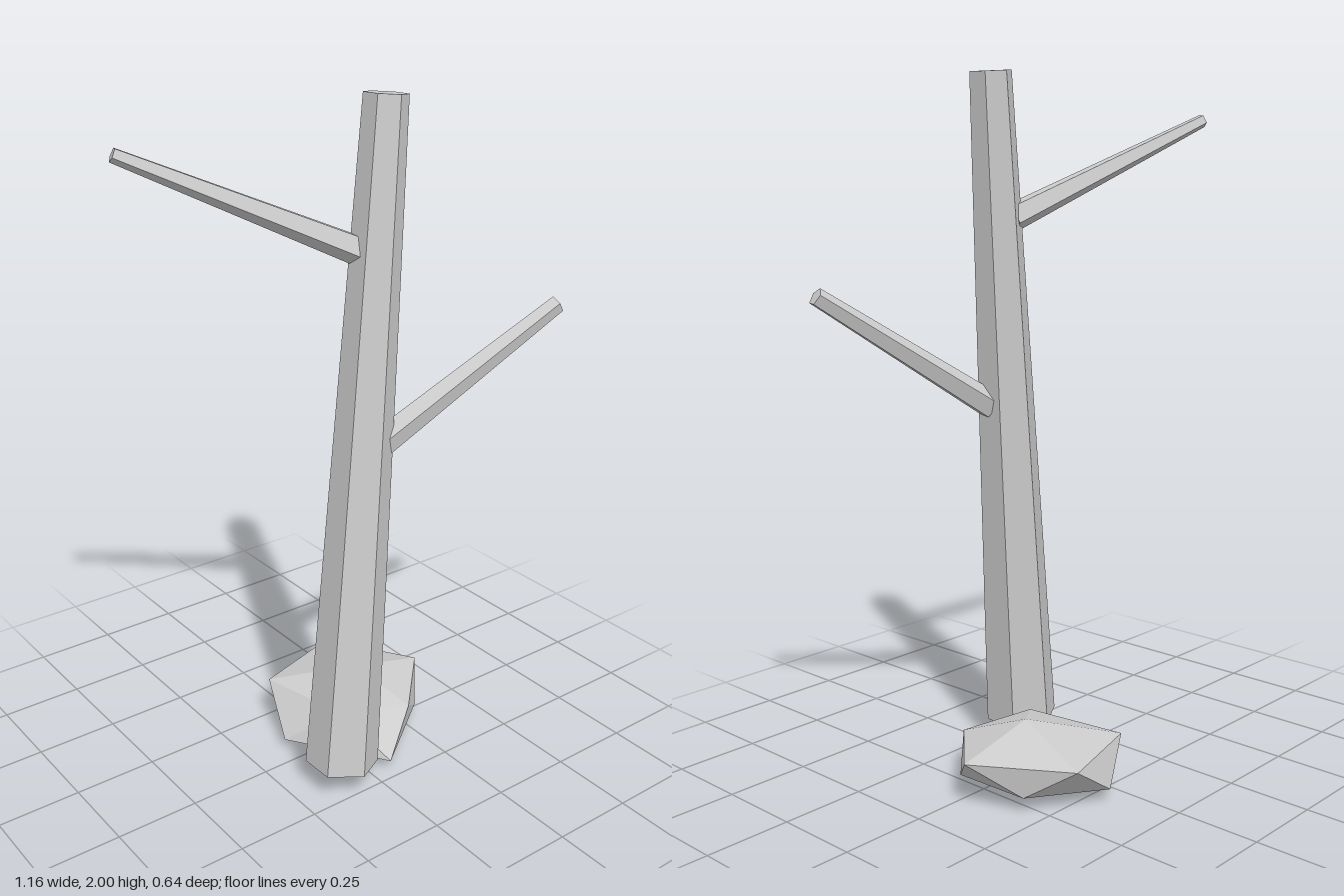
import * as THREE from 'three';

const stone = new THREE.MeshStandardMaterial({ color: 0xcccccc, flatShading: true });
stone.name = 'pale grey';

// Tapered prism running from one point to another
function limb(name, from, to, rFrom, rTo, sides) {
  const a = new THREE.Vector3(...from), b = new THREE.Vector3(...to);
  const dir = b.clone().sub(a);
  const geo = new THREE.CylinderGeometry(rTo, rFrom, dir.length(), sides, 1, false, Math.PI);
  const mesh = new THREE.Mesh(geo, stone);
  mesh.name = name;
  mesh.position.copy(a).add(b).multiplyScalar(0.5);
  mesh.quaternion.setFromUnitVectors(new THREE.Vector3(0, 1, 0), dir.normalize());
  return mesh;
}

// Irregular twenty-sided rock: two staggered rings of five, with a peak and a base point
function rock() {
  const peak = [0.145, 0.2, -0.065], base = [0.14, 0.005, -0.06];
  const upper = [[0.385, 0.14, -0.06], [0.2, 0.13, 0.13], [-0.01, 0.15, 0.06], [-0.07, 0.14, -0.24], [0.22, 0.14, -0.325]];
  const lower = [[0.298, 0.05, 0.045], [0.06, 0.035, 0.217], [-0.133, 0.035, -0.065], [0.07, 0.04, -0.315], [0.29, 0.05, -0.19]];
  const pos = [];
  for (let i = 0; i < 5; i++) {
    const j = (i + 1) % 5;
    pos.push(...peak, ...upper[j], ...upper[i]);
    pos.push(...upper[i], ...upper[j], ...lower[i]);
    pos.push(...lower[i], ...upper[j], ...lower[j]);
    pos.push(...base, ...lower[i], ...lower[j]);
  }
  const geo = new THREE.BufferGeometry();
  geo.setAttribute('position', new THREE.Float32BufferAttribute(pos, 3));
  geo.computeVertexNormals();
  const mesh = new THREE.Mesh(geo, stone);
  mesh.name = 'rock';
  return mesh;
}

export function createModel() {
  const group = new THREE.Group();
  group.name = 'deadTree';
  group.add(
    limb('trunk', [-0.095, 0.083, 0.176], [0.085, 1.997, 0.115], 0.108, 0.06, 6),
    limb('leftBranch', [0.05, 1.065, 0.16], [0.565, 1.4, 0.295], 0.042, 0.026, 5),
    limb('rightBranch', [0.01, 1.6, 0.107], [-0.573, 1.88, -0.123], 0.042, 0.02, 5),
    rock()
  );
  return group;
}
